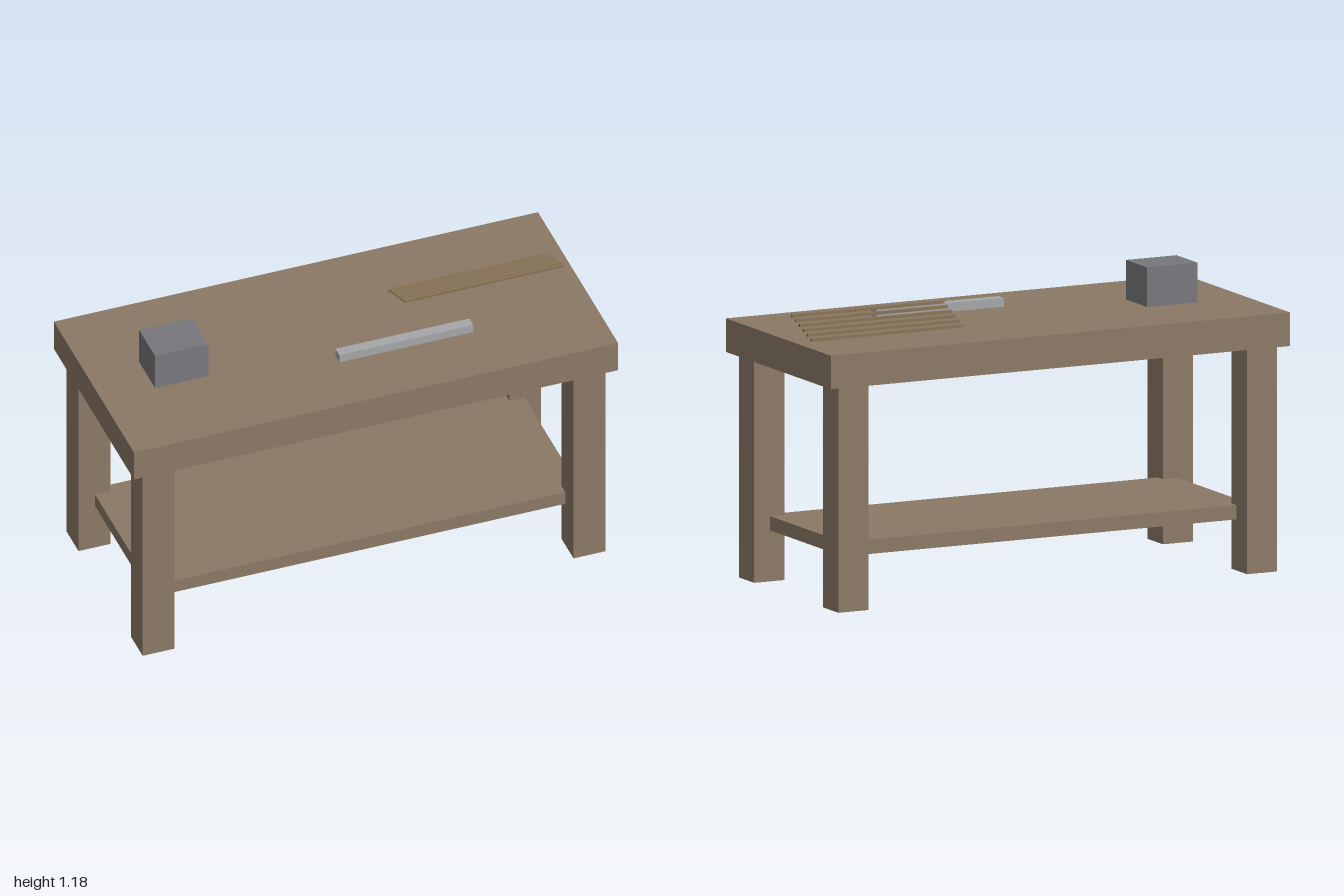
import * as THREE from 'three';

const material = (name, color) => {
  const m = new THREE.MeshStandardMaterial({ color });
  m.name = name;
  return m;
};

export function createModel() {
  const group = new THREE.Group();
  group.name = 'workbench';

  const wood = material('wood', 0x8b7965);
  const darkSteel = material('dark steel', 0x78777c);
  const lightSteel = material('light steel', 0xa5a6a8);
  const rodWood = material('rod wood', 0x8a7458);

  // Box from its extents along each axis
  const box = (name, mat, [x0, x1], [y0, y1], [z0, z1]) => {
    const mesh = new THREE.Mesh(new THREE.BoxGeometry(x1 - x0, y1 - y0, z1 - z0), mat);
    mesh.position.set((x0 + x1) / 2, (y0 + y1) / 2, (z0 + z1) / 2);
    mesh.name = name;
    group.add(mesh);
  };

  // Bench: thick top, four square legs, lower shelf let into the legs
  box('benchTop', wood, [-1, 1], [0.888, 1.02], [-0.445, 0.445]);
  for (const sx of [-1, 1]) {
    for (const sz of [-1, 1]) {
      const x = sx * 0.89, z = sz * 0.356, h = 0.0655;
      const name = (sz > 0 ? 'front' : 'back') + (sx > 0 ? 'Left' : 'Right') + 'Leg';
      box(name, wood, [x - h, x + h], [0, 0.888], [z - h, z + h]);
    }
  }
  box('shelf', wood, [-0.887, 0.887], [0.201, 0.257], [-0.33, 0.33]);

  // Objects on the bench
  box('viseBlock', darkSteel, [-0.78, -0.56], [1.02, 1.176], [-0.089, 0.089]);
  box('metalBar', lightSteel, [-0.057, 0.497], [1.025, 1.06], [0.146, 0.19]);

  // Slanted row of thin rods, rising toward the front
  for (let i = 0; i < 6; i++) {
    const y = 1.098 - i * 0.0134, z = 0.001 - i * 0.0334, h = 0.006;
    box('rod' + (i + 1), rodWood, [0.28, 0.942], [y - h, y + h], [z - h, z + h]);
  }

  return group;
}
